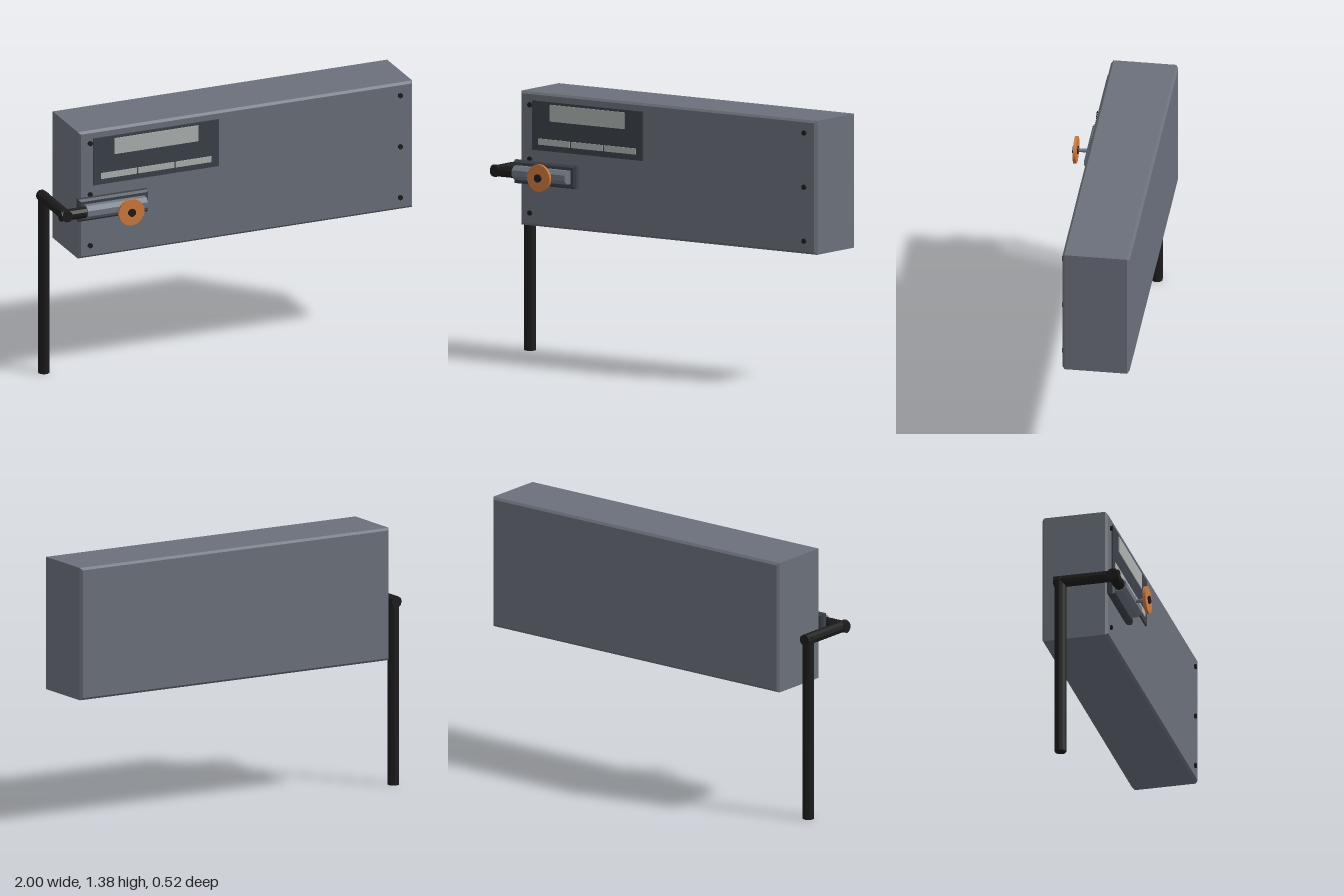
import * as THREE from 'three';

const mat = (name, color) => {
  const m = new THREE.MeshStandardMaterial({ color });
  m.name = name;
  return m;
};

export function createModel() {
  const model = new THREE.Group();
  const casingGrey = mat('casing grey', 0x6b707b);
  const valveGrey = mat('valve grey', 0x6f7783);
  const panelGrey = mat('panel grey', 0x3c4149);
  const screenGrey = mat('screen grey', 0xadb3b1);
  const black = mat('pipe black', 0x1c1c1c);
  const orange = mat('wheel orange', 0xd07a3a);

  const add = (name, geometry, material, x, y, z) => {
    const mesh = new THREE.Mesh(geometry, material);
    mesh.name = name;
    mesh.position.set(x, y, z);
    model.add(mesh);
    return mesh;
  };

  // Block with chamfered edges, given by its limits
  const chamferBox = (name, material, x0, x1, y0, y1, z0, z1, c) => {
    const w = (x1 - x0) / 2 - c, h = (y1 - y0) / 2 - c;
    const shape = new THREE.Shape();
    shape.moveTo(-w, -h).lineTo(w, -h).lineTo(w, h).lineTo(-w, h).closePath();
    const g = new THREE.ExtrudeGeometry(shape, {
      depth: z1 - z0 - 2 * c, bevelEnabled: true, bevelSegments: 1, bevelSize: c, bevelThickness: c,
    });
    return add(name, g, material, (x0 + x1) / 2, (y0 + y1) / 2, z0 + c);
  };

  const box = (name, material, x0, x1, y0, y1, z0, z1) =>
    add(name, new THREE.BoxGeometry(x1 - x0, y1 - y0, z1 - z0), material,
      (x0 + x1) / 2, (y0 + y1) / 2, (z0 + z1) / 2);

  // Faceted rod along one axis, centred on x, y, z
  const rod = (name, material, axis, r, length, sides, x, y, z) => {
    const g = new THREE.CylinderGeometry(r, r, length, sides).toNonIndexed();
    g.rotateY(Math.PI / sides);
    if (axis === 'x') g.rotateZ(Math.PI / 2);
    if (axis === 'z') g.rotateX(Math.PI / 2);
    g.computeVertexNormals();
    return add(name, g, material, x, y, z);
  };

  // Main casing
  chamferBox('casing', casingGrey, -0.87, 1, 0.685, 1.38, -0.257, 0.091, 0.012);

  // Casing screws
  for (const x of [-0.807, 0.927])
    for (const y of [0.752, 1.032, 1.313])
      rod('screw', black, 'z', 0.013, 0.02, 12, x, y, 0.091);

  // Control panel with screen and three buttons
  box('panel', panelGrey, -0.79, -0.09, 1.082, 1.338, 0.089, 0.1);
  box('screen', screenGrey, -0.675, -0.205, 1.238, 1.325, 0.099, 0.104);
  for (let i = 0; i < 3; i++) {
    const x = -0.75 + i * 0.209;
    box('button', screenGrey, x, x + 0.2, 1.112, 1.144, 0.099, 0.104);
  }

  // Valve on its mounting plate
  chamferBox('valvePlate', panelGrey, -0.886, -0.495, 0.904, 1.025, 0.09, 0.133, 0.011);
  rod('valveBody', valveGrey, 'x', 0.038, 0.335, 8, -0.69, 0.965, 0.15);

  // Hand wheel, stem and hub
  rod('stem', valveGrey, 'z', 0.01, 0.08, 12, -0.642, 0.964, 0.205);
  rod('handWheel', orange, 'z', 0.071, 0.016, 24, -0.642, 0.964, 0.243);
  rod('wheelHub', black, 'z', 0.021, 0.03, 12, -0.642, 0.964, 0.245);

  // Pipe: inlet, run to the back, drop to the ground
  rod('inletPipe', black, 'x', 0.03, 0.15, 10, -0.925, 0.964, 0.15);
  rod('sidePipe', black, 'z', 0.03, 0.345, 10, -0.969, 0.964, 0.0075);
  rod('dropPipe', black, 'y', 0.03, 0.98, 10, -0.969, 0.49, -0.132);

  return model;
}
